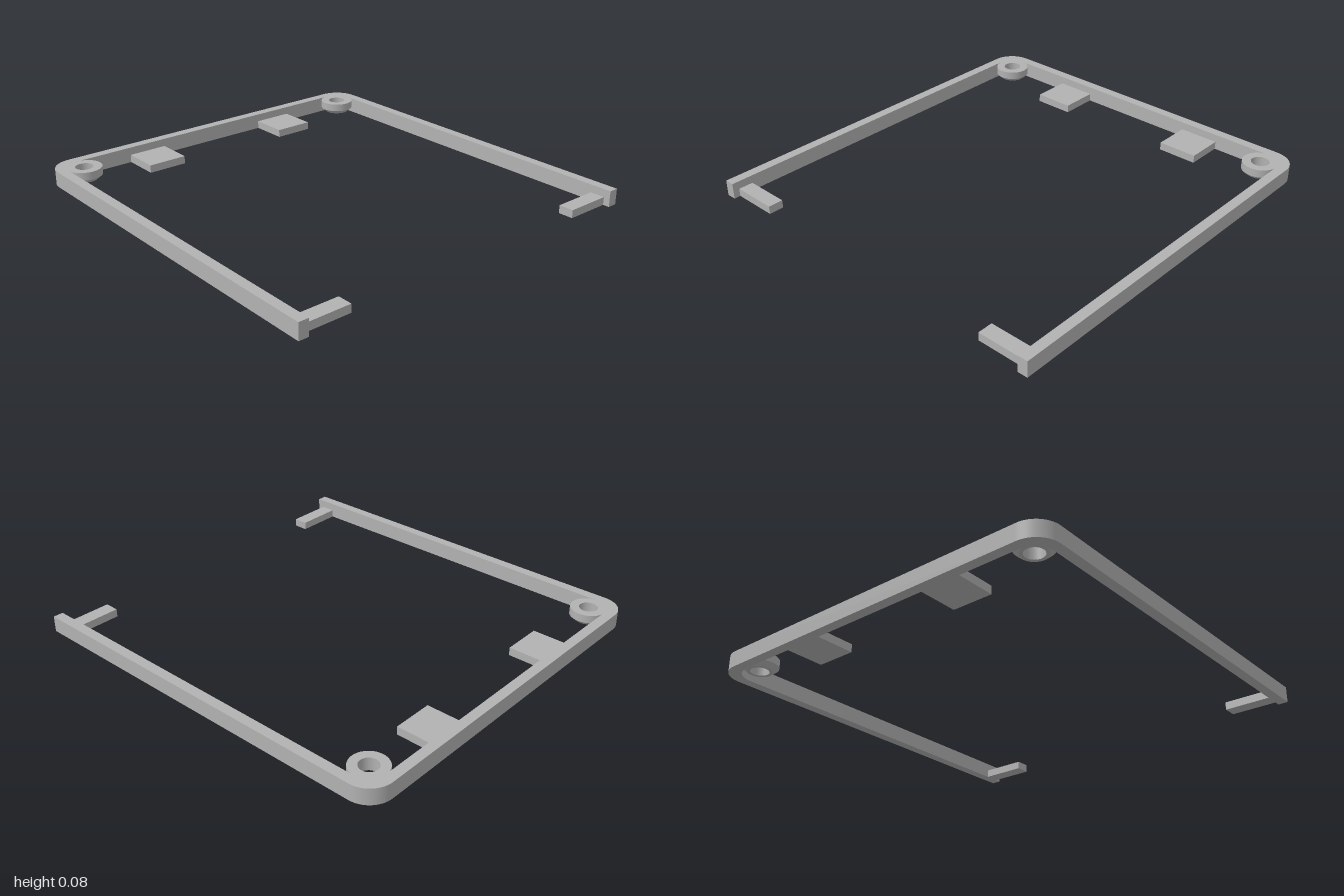
import * as THREE from 'three';

export function createModel() {
  const model = new THREE.Group();
  const grey = new THREE.MeshStandardMaterial({ color: 0xb2b2b2 });
  grey.name = 'grey plastic';

  const H = 0.08, TAB = 0.04, X = 1, Z = 0.96, WALL = 0.05, R = 0.12, RI = 0.1;

  function add(name, geometry, x = 0, y = 0, z = 0) {
    const mesh = new THREE.Mesh(geometry, grey);
    mesh.name = name;
    mesh.position.set(x, y, z);
    model.add(mesh);
  }

  // U-shaped rail with two rounded corners, drawn in plan and extruded upwards
  const xi = -X + WALL, zi = Z - WALL;
  const plan = new THREE.Shape();
  plan.moveTo(X, Z);
  plan.lineTo(-X + R, Z);
  plan.absarc(-X + R, Z - R, R, Math.PI / 2, Math.PI, false);
  plan.lineTo(-X, -Z + R);
  plan.absarc(-X + R, -Z + R, R, Math.PI, Math.PI * 1.5, false);
  plan.lineTo(X, -Z);
  plan.lineTo(X, -zi);
  plan.lineTo(xi + RI, -zi);
  plan.absarc(xi + RI, -zi + RI, RI, Math.PI * 1.5, Math.PI, true);
  plan.lineTo(xi, zi - RI);
  plan.absarc(xi + RI, zi - RI, RI, Math.PI, Math.PI / 2, true);
  plan.lineTo(X, zi);
  plan.closePath();
  const rail = new THREE.ExtrudeGeometry(plan, { depth: H, bevelEnabled: false, curveSegments: 16 });
  rail.rotateX(-Math.PI / 2);
  add('frameRail', rail);

  // Screw boss section: bore, tapered underside, straight collar, flat top.
  // Doubled points keep the edges sharp.
  const section = [
    [0.045, H], [0.045, 0.018],
    [0.045, 0.018], [0.062, 0.018],
    [0.062, 0.018], [0.088, TAB],
    [0.088, TAB], [0.088, H],
    [0.088, H], [0.045, H],
  ];
  const bossParts = [];
  for (let i = 0; i < section.length; i += 2) {
    const pts = section.slice(i, i + 2).map(([r, y]) => new THREE.Vector2(r, y));
    bossParts.push(new THREE.LatheGeometry(pts, 40));
  }

  // Mirrored fittings at front and back
  for (const side of [1, -1]) {
    const label = side > 0 ? 'front' : 'back';
    bossParts.forEach((g) => add(label + 'ScrewBoss', g, -0.865, 0, side * 0.823));
    add(label + 'SupportTab', new THREE.BoxGeometry(0.205, TAB, 0.205), -0.8575, TAB / 2, side * 0.4125);
    add(label + 'EndTab', new THREE.BoxGeometry(0.075, TAB, 0.24), 0.93, TAB / 2, side * 0.795);
  }
  return model;
}
